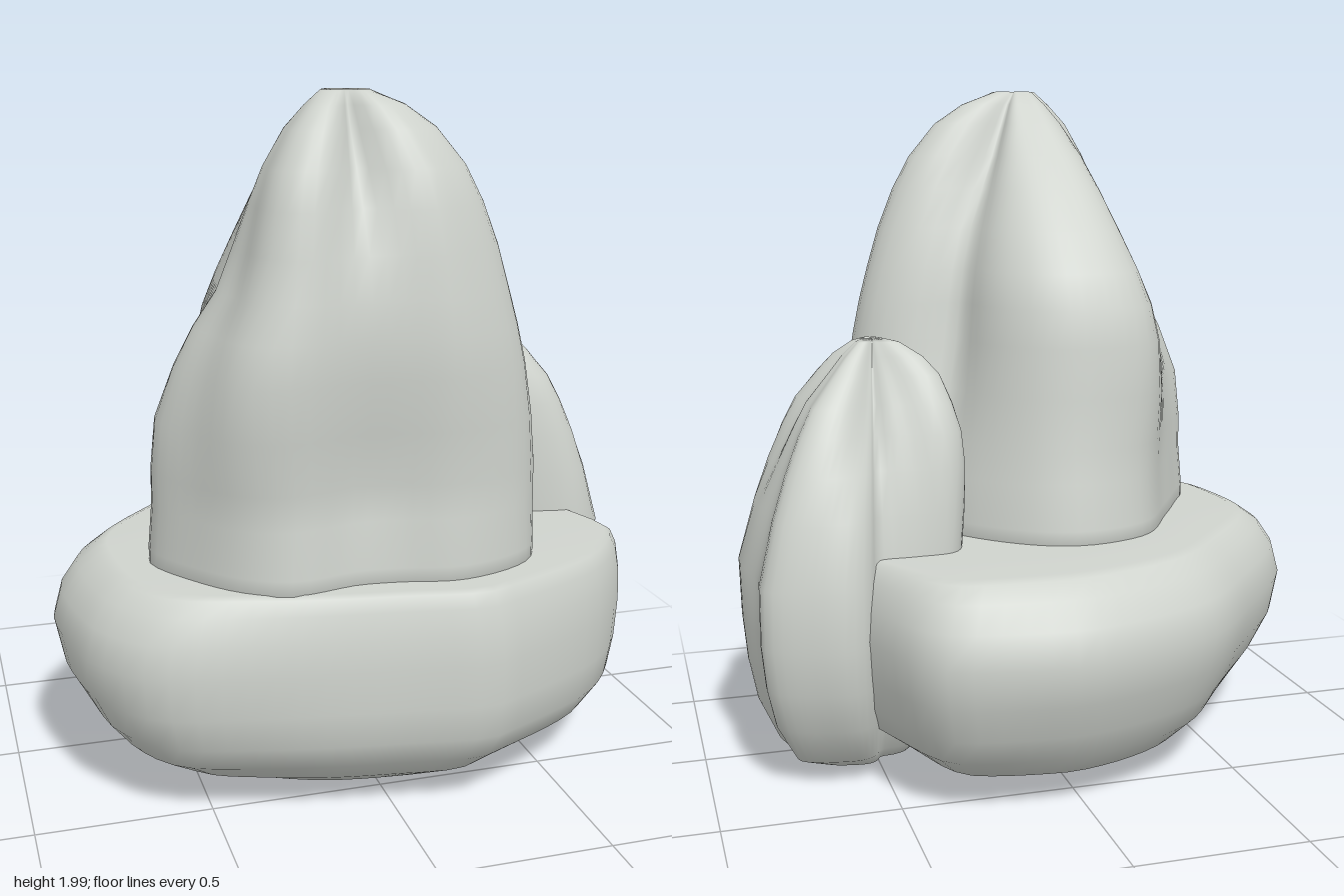
import * as THREE from 'three';

const stone = new THREE.MeshStandardMaterial({ color: 0xcfd3cd });
stone.name = 'pale stone';

// Grooves [angle, width, depth] that deepen between heights y0 and y1;
// a negative depth raises a ridge instead
function grooves(angle, y, y0, y1, list) {
  const h = THREE.MathUtils.smoothstep(y, y0, y1);
  let k = 1;
  for (const [at, width, depth] of list) {
    const d = Math.atan2(Math.sin(angle - at), Math.cos(angle - at)) / width;
    k -= depth * h * Math.exp(-d * d);
  }
  return Math.max(k, 0.15);
}

// Closed loft of a plan outline [x, z] about a centre. Each level holds
// [y, scale to +x, to +z, to -x, to -z]; the first and last levels are points.
function loft(name, outline, [cx, cz], levels, groove = () => 1) {
  const plan = new THREE.CatmullRomCurve3(
    outline.map(([x, z]) => new THREE.Vector3(x, 0, z)), true, 'centripetal').getSpacedPoints(72);
  plan.pop();
  const n = plan.length, last = levels.length - 1;
  const positions = [], index = [];
  for (const [y, px, pz, nx, nz] of levels) {
    for (const p of plan) {
      const dx = p.x - cx, dz = p.z - cz, a = Math.atan2(dz, dx);
      const c2 = Math.cos(a) ** 2;
      const k = ((dx > 0 ? px : nx) * c2 + (dz > 0 ? pz : nz) * (1 - c2)) * groove(a, y);
      positions.push(cx + dx * k, y, cz + dz * k);
    }
  }
  for (let j = 0; j < last; j++) {
    for (let i = 0; i < n; i++) {
      const a = j * n + i, b = j * n + (i + 1) % n;
      if (j > 0) index.push(a, a + n, b);
      if (j < last - 1) index.push(b, a + n, b + n);
    }
  }
  const geometry = new THREE.BufferGeometry();
  geometry.setAttribute('position', new THREE.Float32BufferAttribute(positions, 3));
  geometry.setIndex(index);
  geometry.computeVertexNormals();
  const mesh = new THREE.Mesh(geometry, stone);
  mesh.name = name;
  return mesh;
}

export function createModel() {
  const group = new THREE.Group();
  group.name = 'budCluster';

  // Broad cushion-shaped base with a flat top
  group.add(loft('base', [
    [0, -0.765], [0.15, -0.765], [0.42, -0.7], [0.48, -0.63], [0.56, -0.42], [0.66, -0.12],
    [0.77, 0.16], [0.82, 0.34], [0.79, 0.41], [0.65, 0.57], [0.34, 0.73], [0.25, 0.765],
    [0, 0.73], [-0.4, 0.67], [-0.68, 0.6], [-0.81, 0.45], [-0.85, 0.33], [-0.88, 0.07],
    [-0.84, -0.07], [-0.62, -0.36], [-0.38, -0.62],
  ], [-0.05, 0.02], [
    [0.01, 0, 0, 0, 0],
    [0.02, 0.3, 0.45, 0.3, 0.3],
    [0.05, 0.52, 0.72, 0.5, 0.6],
    [0.1, 0.77, 0.83, 0.67, 0.77],
    [0.17, 0.91, 0.93, 0.82, 0.86],
    [0.25, 0.97, 0.99, 0.9, 0.91],
    [0.35, 0.99, 1, 0.97, 0.96],
    [0.47, 1, 1, 1, 1],
    [0.56, 1, 0.985, 0.97, 0.95],
    [0.63, 0.99, 0.96, 0.91, 0.88],
    [0.67, 0.97, 0.94, 0.84, 0.81],
    [0.68, 0.95, 0.92, 0.8, 0.77],
    [0.68, 0.55, 0.55, 0.5, 0.5],
    [0.68, 0, 0, 0, 0],
  ]));

  // Tall three-lobed bud
  group.add(loft('largeBud', [
    [-0.12, -0.34], [0, -0.32], [0.1, -0.26], [0.21, -0.15], [0.3, -0.02], [0.43, 0.06],
    [0.5, 0.18], [0.51, 0.32], [0.43, 0.54], [0.2, 0.64], [0.02, 0.61], [-0.1, 0.6],
    [-0.28, 0.63], [-0.4, 0.58], [-0.52, 0.45], [-0.62, 0.25], [-0.55, 0.11],
    [-0.45, -0.06], [-0.31, -0.27],
  ], [-0.07, 0.32], [
    [0.5, 0, 0, 0, 0],
    [0.6, 1, 1, 1, 1],
    [0.72, 1, 0.99, 1, 0.98],
    [0.85, 1, 0.9, 0.98, 0.94],
    [0.95, 1, 0.87, 0.98, 0.91],
    [1.1, 0.97, 0.95, 0.96, 0.88],
    [1.25, 0.92, 1.02, 0.88, 0.86],
    [1.36, 0.87, 1.03, 0.79, 0.83],
    [1.46, 0.82, 1, 0.67, 0.77],
    [1.58, 0.76, 0.95, 0.59, 0.64],
    [1.7, 0.68, 0.89, 0.53, 0.49],
    [1.8, 0.59, 0.8, 0.46, 0.35],
    [1.9, 0.45, 0.6, 0.34, 0.2],
    [1.96, 0.3, 0.43, 0.22, 0.12],
    [2, 0.12, 0.26, 0.12, 0.05],
    [1.97, 0.05, 0.1, 0.05, 0.03],
    [1.88, 0, 0, 0, 0],
  ], (a, y) =>
    grooves(a, y, 0.7, 1.3, [[-0.75, 0.33, 0.2], [-2.1, 0.32, -0.13], [2.5, 0.35, -0.12]])
    * grooves(a, y, 1, 1.5, [[-0.15, 0.25, -0.05], [-2.9, 0.25, 0.08]])
    * grooves(a, y, 1.5, 1.95, [[1.55, 0.28, 0.5], [-0.75, 0.28, 0.3], [-2.85, 0.28, 0.3]])));

  // Shorter bud beside the base, reaching the ground
  group.add(loft('smallBud', [
    [0.24, -0.2], [0.28, -0.31], [0.4, -0.33], [0.52, -0.34], [0.56, -0.4], [0.62, -0.43],
    [0.72, -0.41], [0.85, -0.34], [0.85, -0.2], [0.88, -0.02], [0.86, 0.1], [0.77, 0.16],
    [0.62, 0.14], [0.51, 0.09], [0.45, 0.14], [0.38, 0.11], [0.32, 0], [0.31, -0.09],
  ], [0.48, -0.05], [
    [0.02, 0, 0, 0, 0],
    [0.03, 0.5, 0.4, 0.2, 0.42],
    [0.08, 0.76, 0.55, 0.28, 0.64],
    [0.2, 0.9, 0.75, 0.38, 0.85],
    [0.32, 0.96, 0.87, 0.5, 0.95],
    [0.45, 0.99, 0.95, 0.7, 1],
    [0.62, 1, 1, 0.9, 0.97],
    [0.8, 0.87, 1, 1, 0.87],
    [0.92, 0.76, 0.98, 0.97, 0.76],
    [1.02, 0.65, 0.92, 0.9, 0.64],
    [1.1, 0.54, 0.84, 0.8, 0.51],
    [1.18, 0.36, 0.7, 0.7, 0.33],
    [1.23, 0.25, 0.52, 0.55, 0.2],
    [1.27, 0.13, 0.25, 0.3, 0.1],
    [1.28, 0.06, 0.1, 0.1, 0.05],
    [1.2, 0, 0, 0, 0],
  ], (a, y) => grooves(a, y, 0.7, 1.2, [
    [-1.3, 0.25, 0.35], [1.4, 0.25, 0.35], [2.95, 0.22, 0.3], [0.1, 0.2, 0.15],
    [-2.5, 0.35, -0.25],
  ])));

  return group;
}
